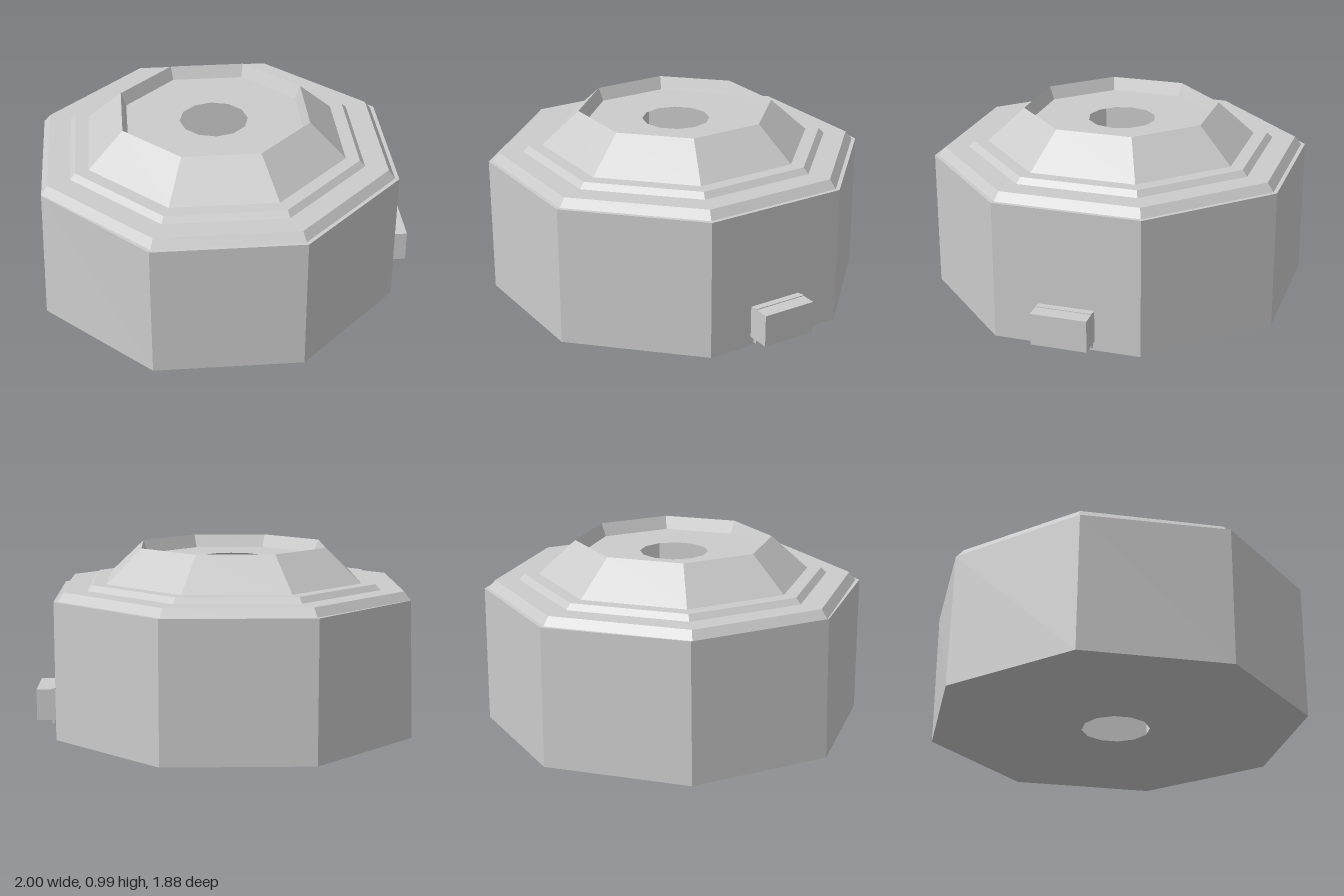
import * as THREE from 'three';

const CENTRE_X = -0.0625;
const CORNER = Math.cos(Math.PI / 8); // flat-to-flat radius over corner radius

export function createModel() {
  const model = new THREE.Group();
  const grey = new THREE.MeshStandardMaterial({
    color: 0xcccccc, flatShading: true, side: THREE.DoubleSide,
  });

  function add(name, geometry, x = CENTRE_X, y = 0, z = 0) {
    const mesh = new THREE.Mesh(geometry, grey);
    mesh.name = name;
    mesh.position.set(x, y, z);
    model.add(mesh);
    return mesh;
  }

  // Eight-sided shell from [flat radius, height] pairs
  function octagonShell(profile) {
    const points = profile.map(([r, y]) => new THREE.Vector2(r / CORNER, y));
    return new THREE.LatheGeometry(points, 8, Math.PI / 8);
  }

  // Flat octagon with a round twelve-sided hole
  function octagonPlate(radius, hole) {
    const ring = (n, r, start) => Array.from({ length: n }, (_, i) => {
      const a = start + (i / n) * Math.PI * 2;
      return new THREE.Vector2(r * Math.cos(a), r * Math.sin(a));
    });
    const shape = new THREE.Shape(ring(8, radius / CORNER, Math.PI / 8));
    shape.holes.push(new THREE.Path(ring(12, hole, 0).reverse()));
    return new THREE.ShapeGeometry(shape);
  }

  // Outer wall; its left face leans in slightly at the top
  const wall = octagonShell([[0.9375, 0], [0.9375, 0.735], [0.917, 0.735]]);
  const pos = wall.attributes.position;
  for (let i = 0; i < pos.count; i++) {
    if (pos.getY(i) > 0.7 && pos.getX(i) < -0.93) pos.setX(i, -0.917);
  }
  add('outerWall', wall);

  // Stepped lid, sloping collar and recessed rim
  add('steppedLid', octagonShell([
    [0.917, 0.735], [0.884, 0.78], [0.767, 0.78], [0.74, 0.81], [0.67, 0.81],
  ]));
  add('collar', octagonShell([[0.67, 0.81], [0.487, 0.99], [0.46, 0.92]]));

  // Plates with centre holes
  add('recessFloor', octagonPlate(0.46, 0.182).rotateX(-Math.PI / 2), CENTRE_X, 0.92);
  add('basePlate', octagonPlate(0.9375, 0.182).rotateX(Math.PI / 2));

  // Side connector with a thin rib around it
  add('connector', new THREE.BoxGeometry(0.13, 0.17, 0.295), 0.935, 0.135);
  add('connectorRib', new THREE.BoxGeometry(0.02, 0.194, 0.295), 0.91, 0.127);

  return model;
}
